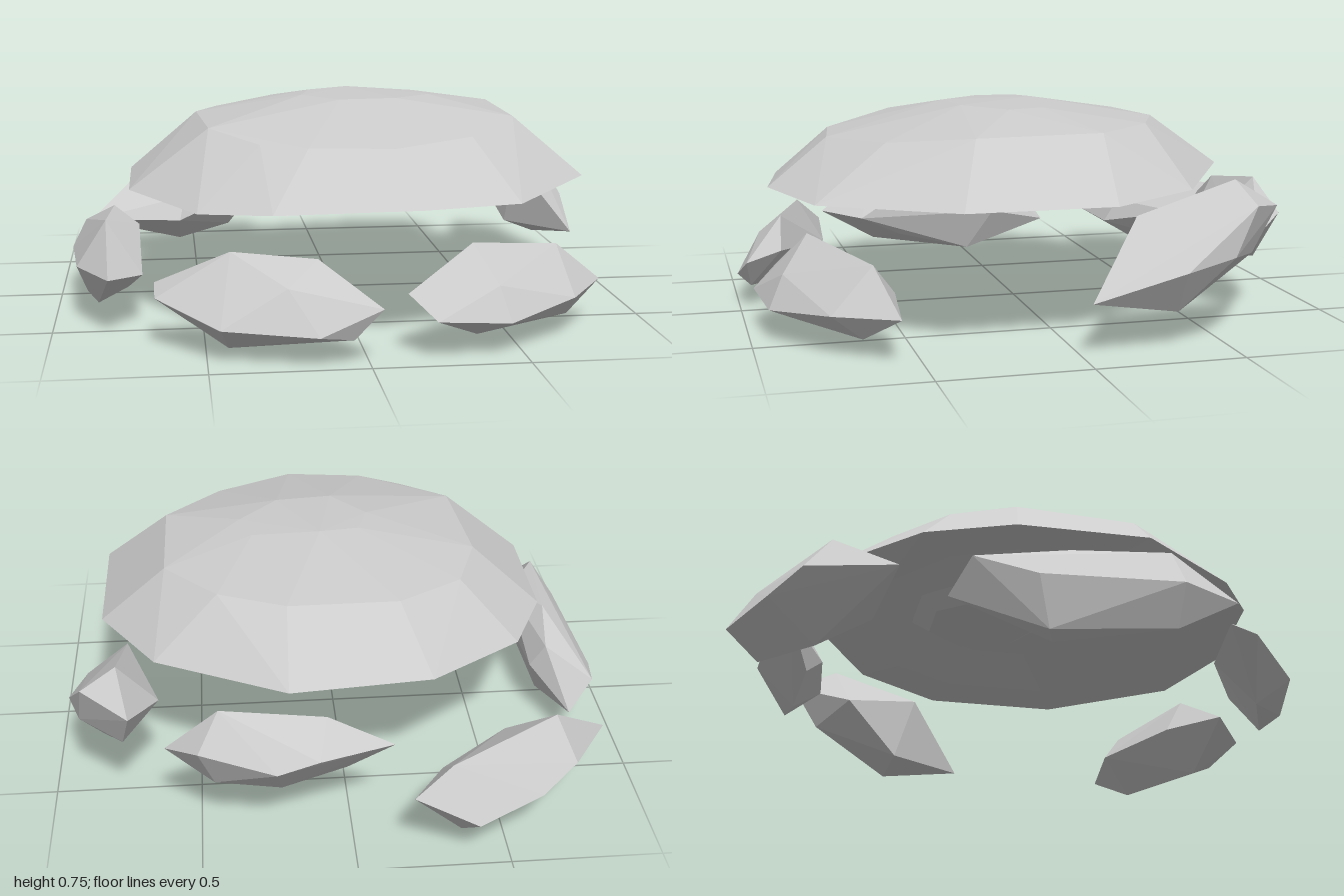
import * as THREE from 'three';
import { ConvexGeometry } from 'three/addons/geometries/ConvexGeometry.js';

const material = new THREE.MeshStandardMaterial({ color: 0xcccccc, flatShading: true });

const hull = (points) => new ConvexGeometry(points.map((p) => new THREE.Vector3(...p)));

function surface(positions) {
  const geo = new THREE.BufferGeometry();
  geo.setAttribute('position', new THREE.Float32BufferAttribute(positions, 3));
  geo.computeVertexNormals();
  return geo;
}

// Joins equal-length rings of points, ordered from the outer edge to the centre
function loft(rings) {
  const pos = [];
  for (let r = 0; r < rings.length - 1; r++) {
    const u = rings[r], l = rings[r + 1];
    u.forEach((p, i) => {
      const j = (i + 1) % u.length;
      pos.push(...p, ...u[j], ...l[j]);
      if (r < rings.length - 2) pos.push(...l[i], ...p, ...l[j]);
    });
  }
  return surface(pos);
}

// Hull of the points with the flat closing faces below the given height left out
function openHull(points, height) {
  const a = hull(points).attributes.position.array;
  const pos = [];
  for (let i = 0; i < a.length; i += 9) {
    if (Math.max(a[i + 1], a[i + 4], a[i + 7]) > height) pos.push(...a.slice(i, i + 9));
  }
  return surface(pos);
}

// Shrinks a ring towards a centre at a set height
const shrink = (ring, k, cx, y, cz) =>
  ring.map(([x, , z]) => [cx + (x - cx) * k, y, cz + (z - cz) * k]);

// Broad capstone: outer rim, the shoulder above it and the crown
const rim = [
  [-0.61, 0.46, -0.39], [-0.28, 0.49, -0.65], [0.20, 0.50, -0.71], [0.64, 0.48, -0.45],
  [0.83, 0.47, -0.13], [0.83, 0.47, 0.37], [0.51, 0.46, 0.79], [0.17, 0.47, 0.91],
  [-0.29, 0.45, 0.84], [-0.52, 0.43, 0.69], [-0.74, 0.45, 0.35], [-0.74, 0.45, -0.10],
];
const shoulder = [
  [-0.42, 0.65, -0.27], [-0.19, 0.67, -0.44], [0.19, 0.68, -0.46], [0.42, 0.68, -0.36],
  [0.60, 0.675, -0.15], [0.60, 0.67, 0.28], [0.40, 0.64, 0.54], [0.12, 0.63, 0.70],
  [-0.16, 0.63, 0.66], [-0.31, 0.63, 0.57], [-0.47, 0.66, 0.38], [-0.50, 0.66, -0.05],
];
const crown = [
  [-0.01, 0.735, 0.26], [0.19, 0.735, 0.24], [0.33, 0.73, 0.10], [0.29, 0.73, -0.03],
  [0.05, 0.745, -0.05], [-0.09, 0.738, -0.02], [-0.13, 0.735, 0.11],
];

// Corner points of the surrounding stones
const stones = {
  backRightStone: [
    [-0.91, 0.17, -0.50], [-0.18, 0.25, -0.97], [-0.69, 0.355, -0.69], [-0.31, 0.33, -0.91],
    [-0.75, 0.22, -0.78], [-0.62, 0.17, -0.88], [-0.39, 0.15, -1.00], [-0.56, 0.04, -0.72],
    [-0.35, 0.06, -0.89], [-0.30, 0.22, -0.77], [-0.56, 0.15, -0.54], [-0.54, 0.24, -0.59],
  ],
  backStone: [
    [-0.14, 0.33, -0.78], [0.61, 0.31, -0.71], [0.43, 0.48, -0.76], [0.08, 0.43, -0.75],
    [0.11, 0.33, -0.86], [0.25, 0.30, -0.88], [0.50, 0.36, -0.83], [0.42, 0.29, -0.63],
    [0.15, 0.36, -0.68], [0.40, 0.37, -0.66],
    [0.10, 0.28, -0.65], [0.01, 0.20, -0.71], [0.23, 0.15, -0.74], [0.45, 0.20, -0.76],
  ],
  leftStone: [
    [0.91, 0.18, -0.02], [0.72, 0.43, -0.72], [0.76, 0.53, -0.55], [0.74, 0.42, -0.22],
    [0.63, 0.36, -0.50], [0.88, 0.46, -0.58], [0.95, 0.27, -0.32], [0.84, 0.12, -0.33],
    [0.72, 0.17, -0.30], [0.75, 0.28, -0.62], [0.90, 0.30, -0.50],
  ],
  frontLeftStone: [
    [0.13, 0.20, 0.88], [0.84, 0.15, 0.57], [0.35, 0.34, 0.80], [0.67, 0.29, 0.63],
    [0.42, 0.22, 0.89], [0.21, 0.13, 0.97], [0.45, 0.11, 0.94], [0.70, 0.14, 0.77],
    [0.36, 0.05, 0.84], [0.70, 0.06, 0.67], [0.30, 0.20, 0.72], [0.60, 0.18, 0.55],
  ],
  frontRightStone: [
    [-0.66, 0.17, 0.73], [-0.66, 0.20, 0.64], [0.04, 0.18, 0.98], [-0.42, 0.32, 0.75],
    [-0.15, 0.31, 0.84], [-0.25, 0.235, 0.91], [-0.46, 0.11, 0.92], [-0.16, 0.10, 1.00],
    [-0.43, 0.02, 0.80], [-0.05, 0.08, 0.96], [-0.45, 0.15, 0.65], [-0.05, 0.20, 0.85],
  ],
  rightStone: [
    [-0.81, 0.20, 0.61], [-0.83, 0.12, -0.34], [-0.82, 0.355, 0.39], [-0.80, 0.34, 0.06],
    [-0.78, 0.27, -0.12], [-0.92, 0.22, -0.28], [-0.96, 0.16, -0.08], [-0.92, 0.20, 0.40],
    [-0.70, 0.18, 0.46], [-0.71, 0.31, 0.25], [-0.73, 0.18, -0.10], [-0.91, 0.00, -0.04],
    [-0.75, 0.10, 0.30], [-0.78, 0.02, 0.00], [-0.85, 0.07, 0.39],
  ],
};

export function createModel() {
  const group = new THREE.Group();
  const add = (name, geometry) => {
    const mesh = new THREE.Mesh(geometry, material);
    mesh.name = name;
    group.add(mesh);
  };

  // Domed top of the capstone and its gently hollow underside
  add('capstoneTop', openHull([...rim, ...shoulder, ...crown], 0.52));
  add('capstoneUnderside', loft([
    rim,
    shrink(rim, 0.75, 0.03, 0.465, 0.06),
    shrink(rim, 0.4, 0, 0.49, 0),
    shrink(rim, 0, 0, 0.5, 0),
  ]));

  // Hub stone set into the hollow
  const hub = new THREE.CylinderGeometry(0.32, 0.2, 0.08, 7).translate(0.01, 0.48, -0.08);
  add('hubStone', hub);

  // Ring of chipped stones
  for (const [name, corners] of Object.entries(stones)) add(name, hull(corners));
  return group;
}
